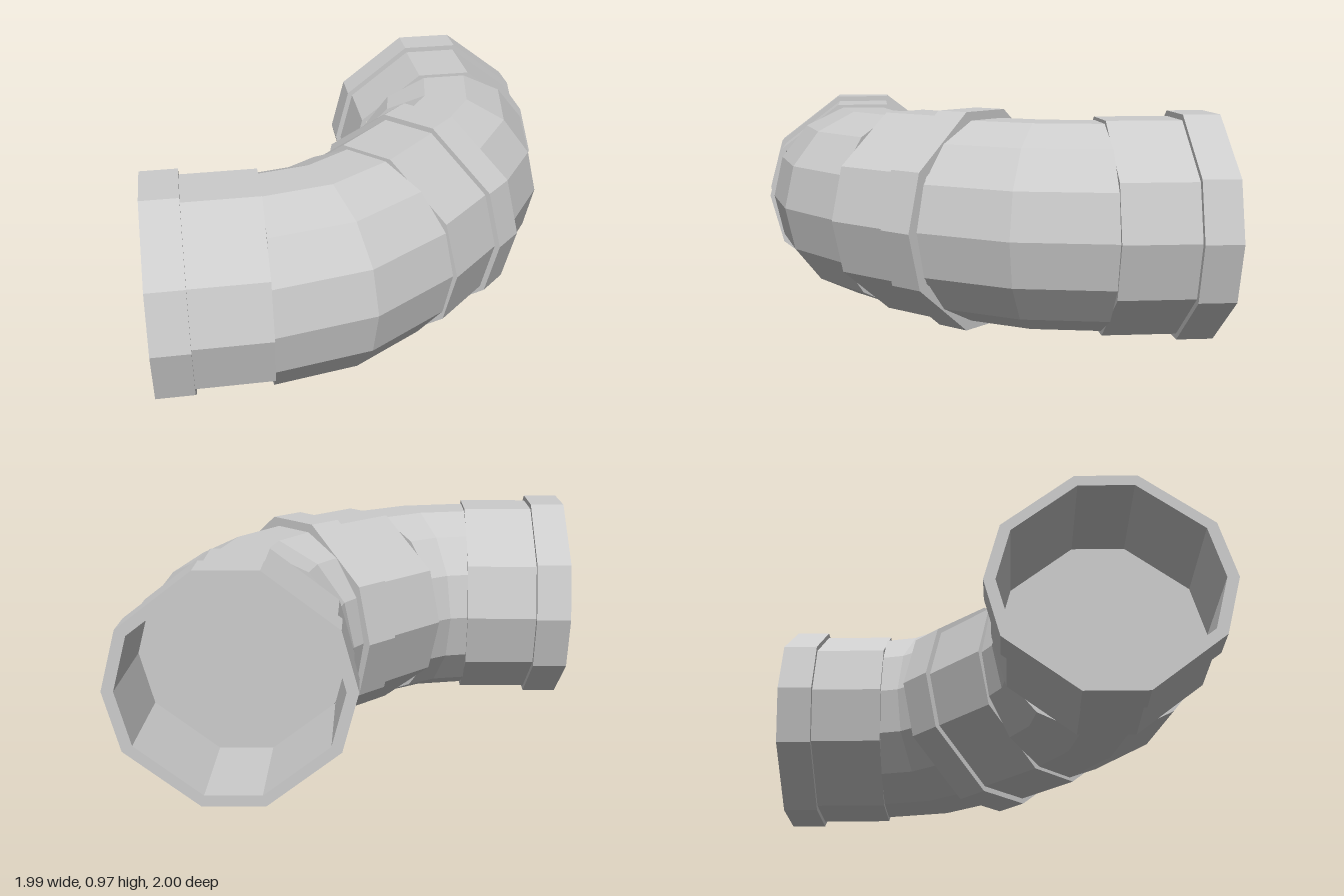
import * as THREE from 'three';

const material = new THREE.MeshStandardMaterial({ color: 0xcccccc, flatShading: true });
const AXIS_Y = 0.488, BEND = 0.67, PIPE = 0.457, BORE = 0.452;
const BODY = 0.325, LIP = 0.16;

function part(name, geometry) {
  const mesh = new THREE.Mesh(geometry, material);
  mesh.name = name;
  return mesh;
}

// Ten-sided outline with narrow flats at top and bottom
function decagon(radius) {
  return [0, 30, 75, 105, 150, 180, 210, 255, 285, 330].map((deg) => {
    const a = THREE.MathUtils.degToRad(deg);
    return new THREE.Vector2(radius * Math.cos(a), radius * Math.sin(a));
  });
}

function sleeve(name, radius, z, depth) {
  const shape = new THREE.Shape(decagon(radius));
  shape.holes.push(new THREE.Path(decagon(BORE)));
  const geometry = new THREE.ExtrudeGeometry(shape, { depth, bevelEnabled: false });
  return part(name, geometry.translate(0, 0, z));
}

// Hollow socket with a thicker lip; it opens towards its local +z
function socket(name, x, z, turn) {
  const group = new THREE.Group();
  group.name = name;
  group.add(sleeve('socketBody', 0.476, 0, BODY), sleeve('socketLip', 0.501, BODY, LIP));
  group.position.set(x, AXIS_Y, z);
  group.rotation.y = turn;
  return group;
}

// 45 degree bend in two segments, closed at both ends
function elbow(name, x, z, turn) {
  const group = new THREE.Group();
  group.name = name;
  const bend = new THREE.TorusGeometry(BEND, PIPE, 14, 2, Math.PI / 4).rotateX(Math.PI / 2);
  const disc = () => new THREE.CircleGeometry(PIPE, 14);
  group.add(
    part('bend', bend),
    part('startWall', disc().rotateY(Math.PI).translate(BEND, 0, 0)),
    part('endWall', disc().translate(BEND, 0, 0).rotateY(-Math.PI / 4)),
  );
  group.position.set(x, AXIS_Y, z);
  group.rotation.y = turn;
  return group;
}

export function createModel() {
  const model = new THREE.Group();
  model.name = 'pipeBend';
  model.add(
    socket('sideSocket', -0.512, 0.497, -Math.PI / 2),
    elbow('sideElbow', -0.512, -0.175, -Math.PI / 4),
    socket('middleSocket', -0.037, 0.298, Math.PI * 0.75),
    elbow('backElbow', -0.177, -0.515, 0),
    socket('backSocket', 0.492, -0.515, Math.PI),
  );
  return model;
}
